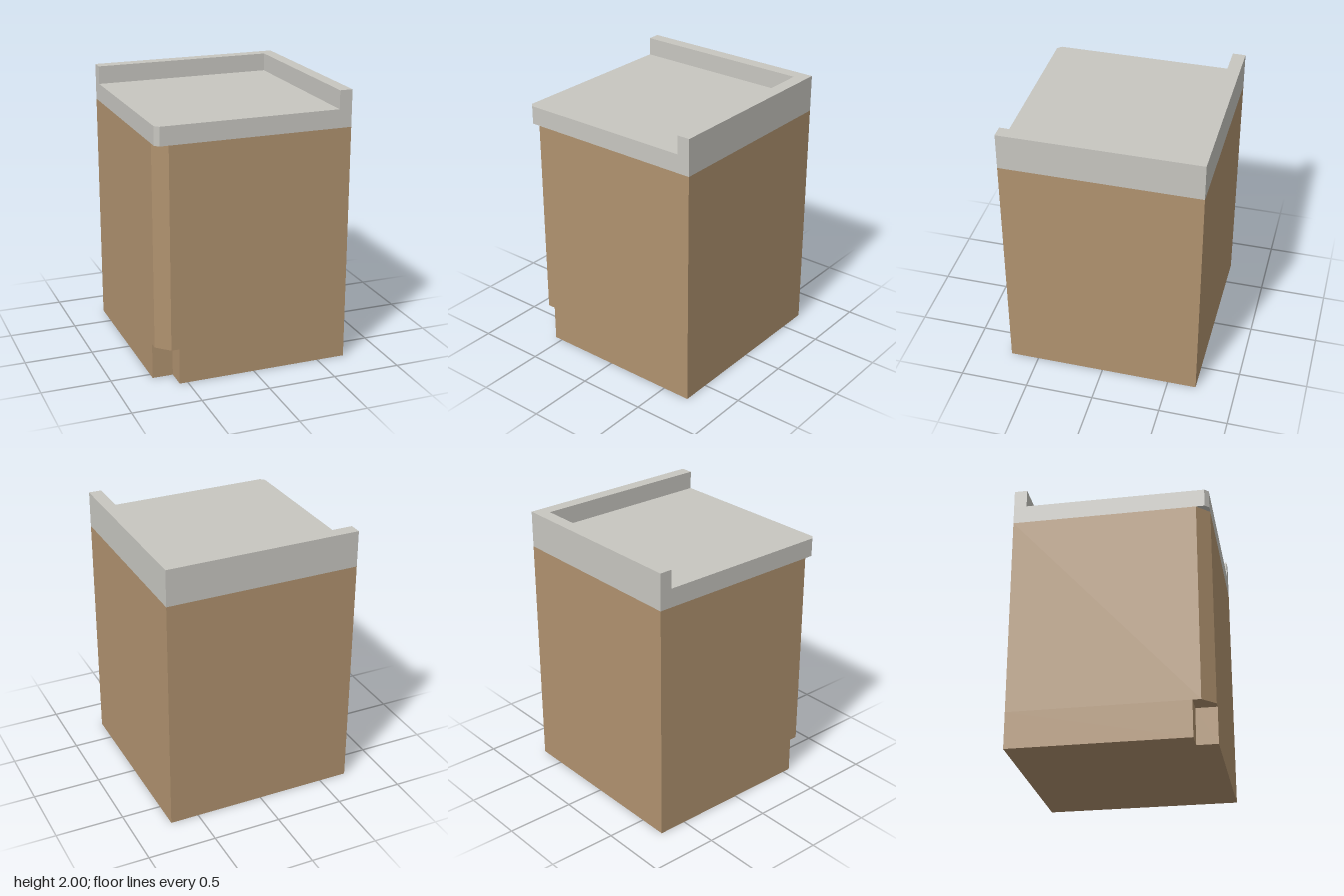
import * as THREE from 'three';

const H = 0.71; // half width of the square plan

// Extrude a plan outline of [x, z] points from height y0 to y1
function slab(name, outline, y0, y1, material) {
  const shape = new THREE.Shape(outline.map(([x, z]) => new THREE.Vector2(x, -z)));
  const geometry = new THREE.ExtrudeGeometry(shape, { depth: y1 - y0, bevelEnabled: false });
  geometry.rotateX(-Math.PI / 2).translate(0, y0, 0);
  const mesh = new THREE.Mesh(geometry, material);
  mesh.name = name;
  return mesh;
}

// Square plan whose front right corner is replaced by the given points
const plan = (...corner) => [[H, H], [H, -H], [-H, -H], ...corner];
const chamfer = (c) => plan([-H, H - c], [-H + c, H]);

export function createModel() {
  const wood = new THREE.MeshStandardMaterial({ color: 0xb0926f });
  wood.name = 'wood';
  const stone = new THREE.MeshStandardMaterial({ color: 0xc7c6c0 });
  stone.name = 'stone';

  const group = new THREE.Group();
  group.name = 'cornerCabinet';

  // Plinth with a square toe notch at the inner corner
  const n = 0.15;
  group.add(slab('plinth', plan([-H, H - n], [-H + n, H - n], [-H + n, H]), 0, 0.263, wood));
  // Cabinet body with a narrow angled door face
  group.add(slab('cabinetBody', chamfer(0.092), 0.263, 1.735, wood));
  // Worktop, overhanging the angled face
  group.add(slab('worktop', chamfer(0.03), 1.735, 1.868, stone));
  // L-shaped upstand along the back and left walls
  const u = 0.617;
  group.add(slab('upstand', [[H, H], [H, -H], [-H, -H], [-H, -u], [u, -u], [u, H]], 1.868, 2, stone));

  return group;
}
